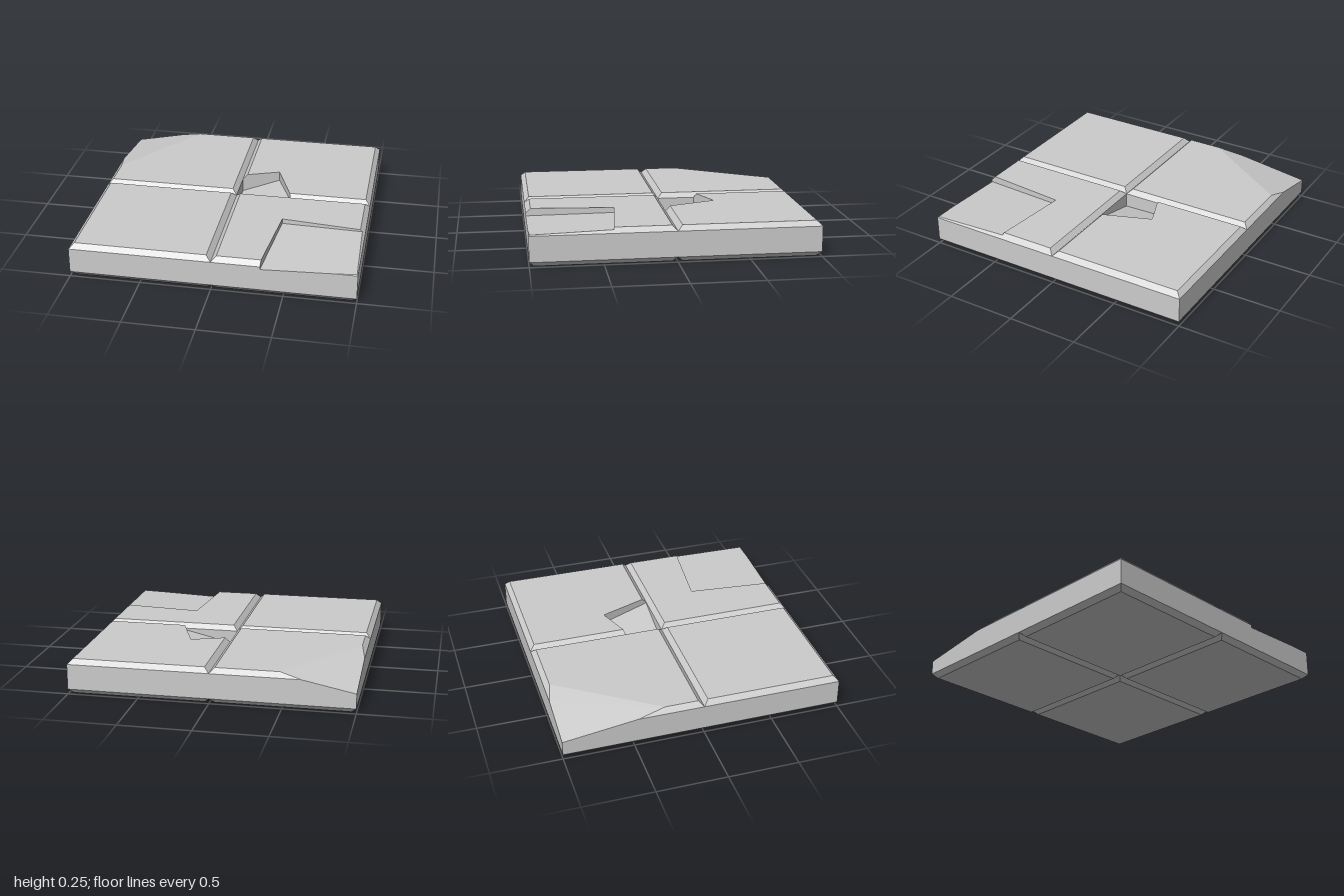
import * as THREE from 'three';

const HEIGHT = 0.25, BEVEL = 0.035;

const planeAt = (nx, ny, nz, x, y, z) => new THREE.Plane().setFromNormalAndCoplanarPoint(
  new THREE.Vector3(nx, ny, nz).normalize(), new THREE.Vector3(x, y, z));

// sloped plane y = a + b*x + c*z, facing up
const slope = (a, b, c) => new THREE.Plane(new THREE.Vector3(-b, 1, -c), -a).normalize();

// upright plane through two ground points
const wall = (x1, z1, x2, z2) => planeAt(z2 - z1, 0, x1 - x2, x1, 0, z1);

// keep the part of a convex polygon that lies behind a plane
function clip(poly, plane) {
  const out = [];
  poly.forEach((p, i) => {
    const q = poly[(i + 1) % poly.length];
    const dp = plane.distanceToPoint(p), dq = plane.distanceToPoint(q);
    if (dp <= 1e-7) out.push(p);
    if ((dp > 1e-7 && dq < -1e-7) || (dp < -1e-7 && dq > 1e-7)) {
      out.push(p.clone().lerp(q, dp / (dp - dq)));
    }
  });
  return out;
}

// face of a convex solid that lies on one of its planes
function face(plane, solid) {
  const n = plane.normal, o = plane.coplanarPoint(new THREE.Vector3());
  const u = new THREE.Vector3(0, 1, 0).cross(n);
  if (u.length() < 1e-6) u.set(1, 0, 0);
  u.normalize();
  const v = n.clone().cross(u);
  const quad = [[-4, -4], [4, -4], [4, 4], [-4, 4]].map(([a, b]) =>
    o.clone().addScaledVector(u, a).addScaledVector(v, b));
  return solid.filter(p => p !== plane).reduce(clip, quad);
}

// bevelled square slab as a list of bounding planes
function slab(cx, cz) {
  const planes = [planeAt(0, 1, 0, 0, HEIGHT, 0), planeAt(0, -1, 0, 0, 0, 0)];
  for (const [dx, dz] of [[1, 0], [-1, 0], [0, 1], [0, -1]]) {
    const x = cx + dx / 2, z = cz + dz / 2;
    planes.push(planeAt(dx, 0, dz, x, 0, z));
    planes.push(planeAt(dx, 1, dz, x, HEIGHT - BEVEL, z));
    planes.push(planeAt(dx, -1, dz, x, BEVEL, z));
  }
  return planes;
}

// convex solid, with an optional convex chip taken out of it
function solidGeometry(solid, chip = []) {
  const polys = [];
  for (const plane of solid) {
    let rest = face(plane, solid);
    for (const c of chip) {
      polys.push(clip(rest, c.clone().negate()));
      rest = clip(rest, c);
    }
    if (!chip.length) polys.push(rest);
  }
  for (const c of chip) polys.push(face(c, [...chip, ...solid]).reverse());

  const points = [];
  for (const p of polys) {
    for (let i = 1; i < p.length - 1; i++) points.push(p[0], p[i], p[i + 1]);
  }
  const geometry = new THREE.BufferGeometry().setFromPoints(points);
  geometry.computeVertexNormals();
  return geometry;
}

export function createModel() {
  const group = new THREE.Group();
  group.name = 'floorTiles';
  const material = new THREE.MeshStandardMaterial({ color: 0xcccccc, flatShading: true });

  const add = (name, solid, chip) => {
    const mesh = new THREE.Mesh(solidGeometry(solid, chip), material);
    mesh.name = name;
    group.add(mesh);
  };

  // intact tile
  add('frontRightTile', slab(-0.5, 0.5));

  // tile with a worn, sloping outer corner
  add('wornCornerTile', [...slab(-0.5, -0.5), slope(0.484, 0.2025, 0.1415)]);

  // tile with a shallow chip at its outer corner
  add('shallowChipTile', slab(0.5, 0.5), [
    wall(0.34, 1, 0.4, 0.37),
    wall(0.4, 0.37, 0.98, 0.43),
    slope(0.207, 0.041, -0.026).negate(),
  ]);

  // tile with a deep chip at the inner corner
  add('deepChipTile', slab(0.5, -0.5), [
    wall(0, -0.275, 0.27, -0.375),
    wall(0.27, -0.375, 0.41, 0),
    slope(0.109, 0.233, -0.02).negate(),
  ]);

  return group;
}
